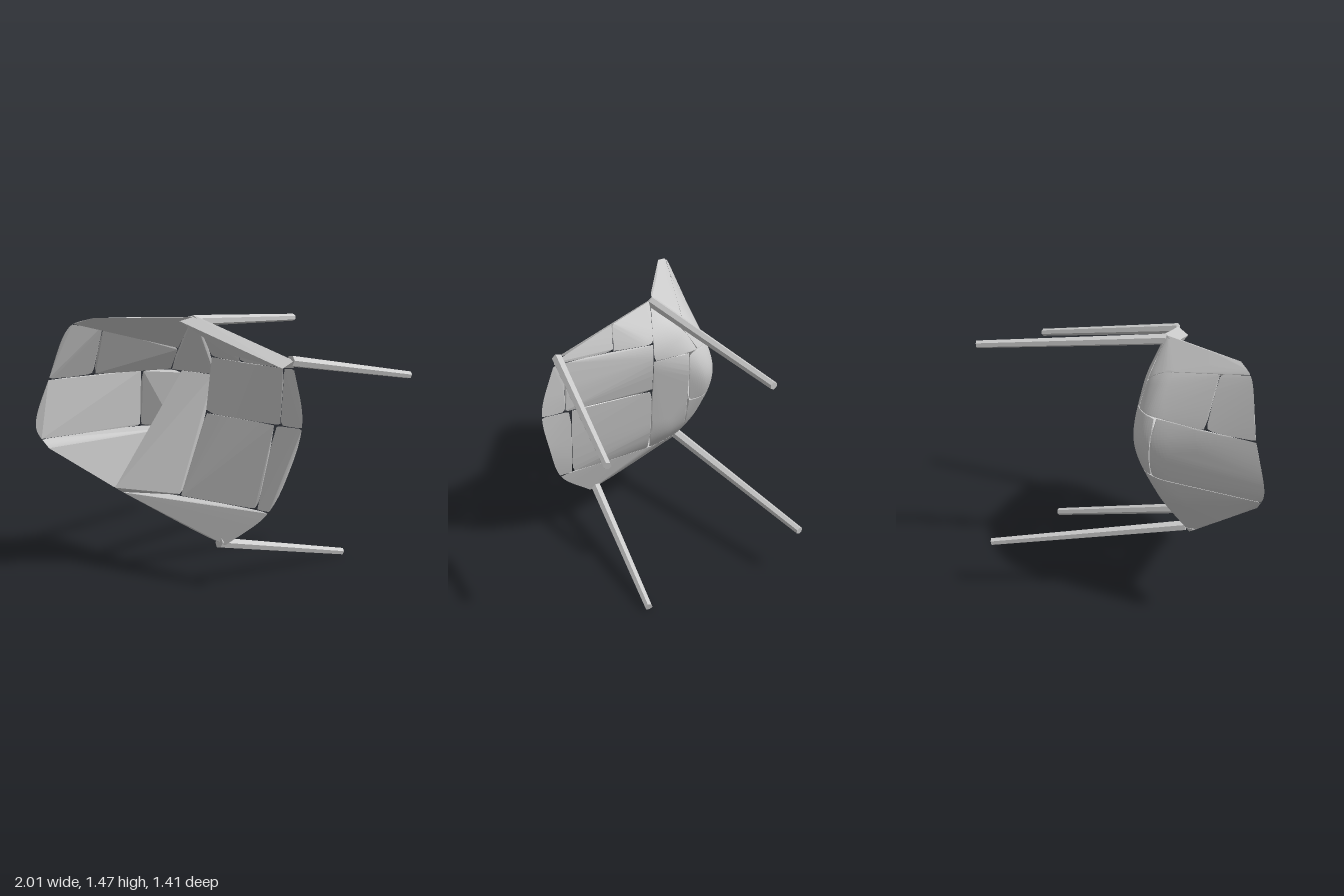
import * as THREE from 'three';
import { ConvexGeometry } from 'three/addons/geometries/ConvexGeometry.js';

const mat = new THREE.MeshStandardMaterial({ color: 0xcccccc, flatShading: true, side: THREE.DoubleSide });

// Chair frame: x across the seat, y up from the seat, z to the seat front.
// The whole chair lies tipped over on its side.
const frame = new THREE.Matrix4().makeBasis(
  new THREE.Vector3(0.28, 0.94, 0.19),
  new THREE.Vector3(-0.863, 0.159, 0.485),
  new THREE.Vector3(0.43, -0.29, 0.86)
).setPosition(-0.2, 0.85, 0.22);

// Half cross-sections from the front lip to the top of the back: rim, mid, centre
const sections = [
  [[0.53, 0, 0.345], [0.27, -0.015, 0.505], [0, -0.03, 0.53]],
  [[0.54, 0, 0.2], [0.3, -0.05, 0.23], [0, -0.055, 0.25]],
  [[0.545, 0, 0], [0.32, -0.085, 0], [0, -0.1, 0]],
  [[0.545, 0, -0.2], [0.31, -0.14, -0.2], [0, -0.165, -0.25]],
  [[0.545, 0.01, -0.33], [0.3, -0.13, -0.41], [0, -0.22, -0.45]],
  [[0.52, 0.08, -0.38], [0.3, -0.05, -0.51], [0, -0.165, -0.545]],
  [[0.47, 0.2, -0.5], [0.31, 0.15, -0.6], [0, 0.11, -0.67]],
  [[0.385, 0.42, -0.67], [0.3, 0.47, -0.76], [0, 0.46, -0.79]],
];

// Mirror each half section, then smooth across and along the bucket
function shellPoints(nu, nv) {
  const rows = sections.map(([rim, mid, centre]) => {
    const pts = [rim, mid, centre].map(p => new THREE.Vector3(...p));
    const flip = [mid, rim].map(([x, y, z]) => new THREE.Vector3(-x, y, z));
    return new THREE.CatmullRomCurve3([...pts, ...flip]).getPoints(nu);
  });
  const points = [];
  for (let i = 0; i <= nu; i++) {
    points.push(...new THREE.CatmullRomCurve3(rows.map(r => r[i])).getPoints(nv));
  }
  return points.map(p => p.applyMatrix4(frame));
}

// Straight cuts that divide the bucket into solid panels
function panelName({ x, y, z }) {
  if (y < 0.46) return 'lowerSidePanel';
  if (z > 0.05) {
    if (y > 1.23) return z > 0.28 ? 'upperSideFront' : 'upperSideRear';
    if (y > 0.92) return z > 0.565 ? 'upperLip' : 'upperSeat';
    return z > 0.53 ? 'lowerLip' : 'lowerSeat';
  }
  if (y > 1.13) {
    if (x > -0.2) return 'upperCorner';
    if (z > -0.14) return 'upperWing';
    return x > -0.66 ? 'upperBackInner' : 'upperBackOuter';
  }
  if (z > -0.17) return 'seatRear';
  if (y < 0.8) return 'lowerBack';
  return x > -0.35 ? 'middleCorner' : 'middleBack';
}

// Tapered six-sided leg between two points
function leg(name, from, to) {
  const a = new THREE.Vector3(...from), b = new THREE.Vector3(...to);
  const dir = b.clone().sub(a);
  const mesh = new THREE.Mesh(new THREE.CylinderGeometry(0.022, 0.031, dir.length(), 6), mat);
  mesh.position.copy(a).add(b).multiplyScalar(0.5);
  mesh.quaternion.setFromUnitVectors(new THREE.Vector3(0, 1, 0), dir.normalize());
  mesh.name = name;
  return mesh;
}

function solid(name, points) {
  const mesh = new THREE.Mesh(new ConvexGeometry(points), mat);
  mesh.name = name;
  return mesh;
}

export function createModel() {
  const chair = new THREE.Group();
  chair.name = 'tippedChair';

  // Seat and back: one convex solid per panel of the bucket
  const panels = {};
  for (const p of shellPoints(90, 110)) (panels[panelName(p)] ??= []).push(p);
  for (const [name, points] of Object.entries(panels)) chair.add(solid(name, points));

  // Rolled edge along the upper side of the seat
  const edge = [
    [0.555, 0, -0.34], [0.545, 0, 0], [0.555, 0, 0.34],
    [0.5, 0.05, -0.38], [0.44, 0.015, -0.045], [0.5, 0.055, 0.32],
  ].map(p => new THREE.Vector3(...p).applyMatrix4(frame));
  chair.add(solid('seatSideEdge', edge));

  // Four legs
  chair.add(
    leg('upperBackLeg', [-0.2, 1.44, 0.04], [0.75, 1.35, -0.44]),
    leg('upperFrontLeg', [0.09, 1.27, 0.6], [0.99, 1.1, 0.44]),
    leg('lowerBackLeg', [-0.46, 0.45, -0.14], [0.49, 0.29, -0.69]),
    leg('lowerFrontLeg', [-0.22, 0.26, 0.38], [0.71, 0.025, 0.2])
  );
  return chair;
}
